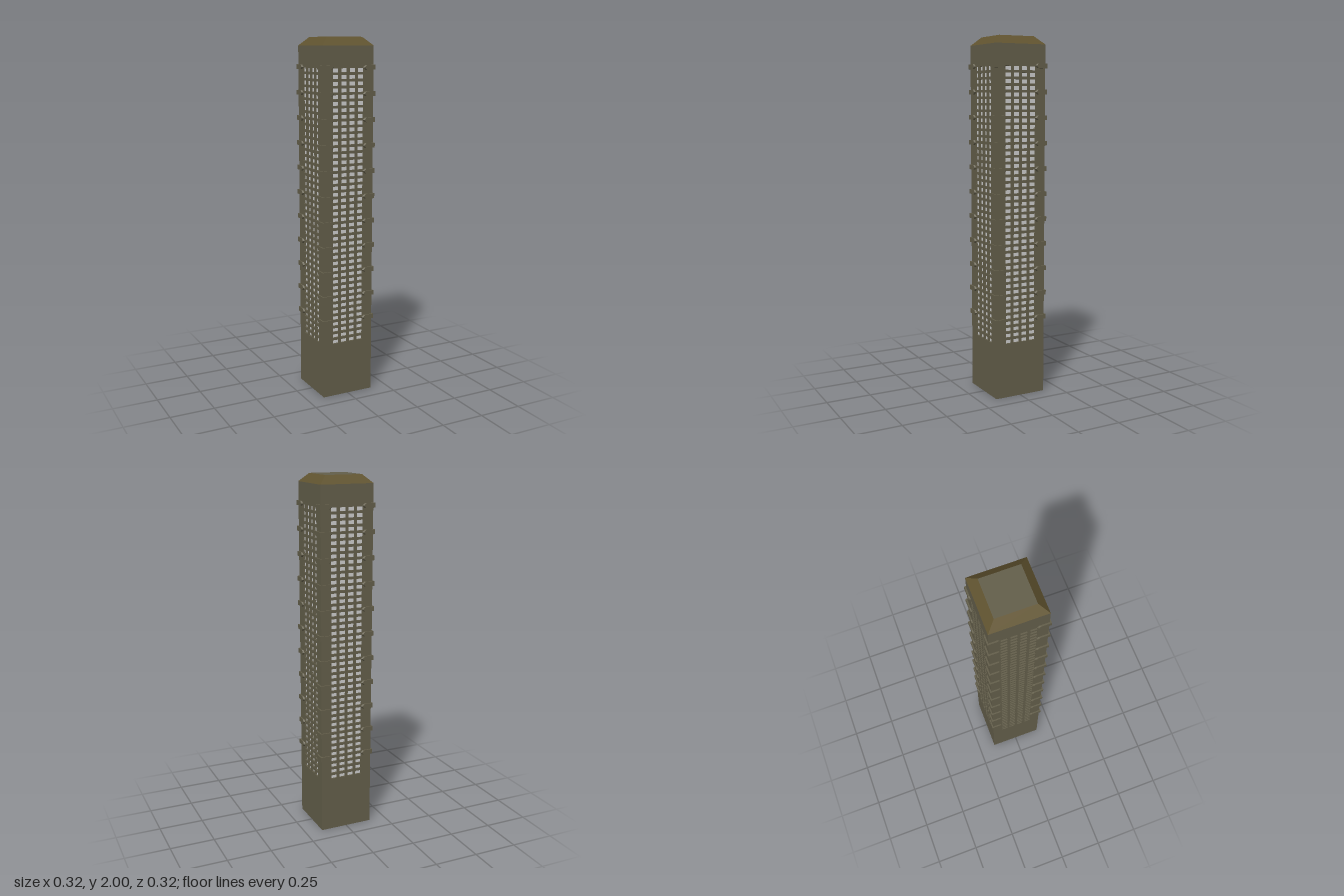
import * as THREE from 'three';
import { ConvexGeometry } from 'three/addons/geometries/ConvexGeometry.js';

const HALF = 0.152, WALL_TOP = 1.955, TOP = 2, ROOF_HALF = 0.106, RECESS = 0.01;

const mat = (color) => new THREE.MeshStandardMaterial({ color, flatShading: true });

// One face of the tower, pierced by the window grid and mitred at the corners
function wallGeometry() {
  const shape = new THREE.Shape([
    new THREE.Vector2(-HALF, 0), new THREE.Vector2(HALF, 0),
    new THREE.Vector2(HALF, WALL_TOP), new THREE.Vector2(-HALF, WALL_TOP),
  ]);
  const w = 0.018, h = 0.0105;
  for (let row = 0; row < 44; row++) {
    for (let col = 0; col < 4; col++) {
      const x = (col - 1.5) * 0.05, y = 0.321 + row * 0.035;
      shape.holes.push(new THREE.Path([
        new THREE.Vector2(x - w, y - h), new THREE.Vector2(x - w, y + h),
        new THREE.Vector2(x + w, y + h), new THREE.Vector2(x + w, y - h),
      ]));
    }
  }
  const geo = new THREE.ExtrudeGeometry(shape, { depth: RECESS, bevelEnabled: false });
  geo.translate(0, 0, HALF - RECESS);
  const p = geo.attributes.position;
  for (let i = 0; i < p.count; i++) {
    if (Math.abs(p.getX(i)) > HALF - 0.001) p.setX(i, Math.sign(p.getX(i)) * p.getZ(i));
  }
  geo.computeVertexNormals();
  return geo;
}

// One arm of a corner bracket on the front face, with a pointed inner end
function armGeometry(side) {
  const pts = [], outer = 0.16, inner = HALF - 0.002, h = 0.013;
  for (const y of [-h, h]) {
    pts.push(
      new THREE.Vector3(side * outer, y, outer), new THREE.Vector3(side * inner, y, inner),
      new THREE.Vector3(side * 0.107, y, outer), new THREE.Vector3(side * 0.1, y, inner));
  }
  pts.push(new THREE.Vector3(side * 0.096, 0, outer), new THREE.Vector3(side * 0.086, 0, inner));
  return new ConvexGeometry(pts);
}

export function createModel() {
  const tower = new THREE.Group();
  tower.name = 'tower';
  const stone = mat(0x635e4a), slope = mat(0x60532f), glass = mat(0xcccccc);
  const add = (parent, name, geo, material) => {
    const mesh = new THREE.Mesh(geo, material);
    mesh.name = name;
    parent.add(mesh);
    return mesh;
  };

  // Four identical sides: wall, recessed glazing and bracket arms
  const wall = wallGeometry();
  const pane = new THREE.PlaneGeometry(0.2, 1.56).translate(0, 1.0735, HALF - RECESS + 0.0005);
  const arms = [armGeometry(-1), armGeometry(1)];
  for (let i = 0; i < 4; i++) {
    const side = new THREE.Group();
    side.name = 'side' + (i + 1);
    side.rotation.y = i * Math.PI / 2;
    add(side, 'wall', wall, stone);
    add(side, 'windowPanes', pane, glass);
    for (let b = 0; b < 11; b++) {
      for (const arm of arms) add(side, 'cornerBracket', arm, stone).position.y = 0.44 + b * 0.14;
    }
    tower.add(side);
  }

  // Sloped crown and flat roof
  const crown = new THREE.CylinderGeometry(
    ROOF_HALF * Math.SQRT2, HALF * Math.SQRT2, TOP - WALL_TOP, 4, 1, true);
  crown.rotateY(Math.PI / 4).translate(0, (TOP + WALL_TOP) / 2, 0);
  add(tower, 'crown', crown, slope);
  const roof = new THREE.PlaneGeometry(ROOF_HALF * 2, ROOF_HALF * 2);
  add(tower, 'roof', roof.rotateX(-Math.PI / 2).translate(0, TOP, 0), stone);

  // Underside
  const base = new THREE.PlaneGeometry(HALF * 2, HALF * 2).rotateX(Math.PI / 2);
  add(tower, 'base', base, stone);
  return tower;
}
